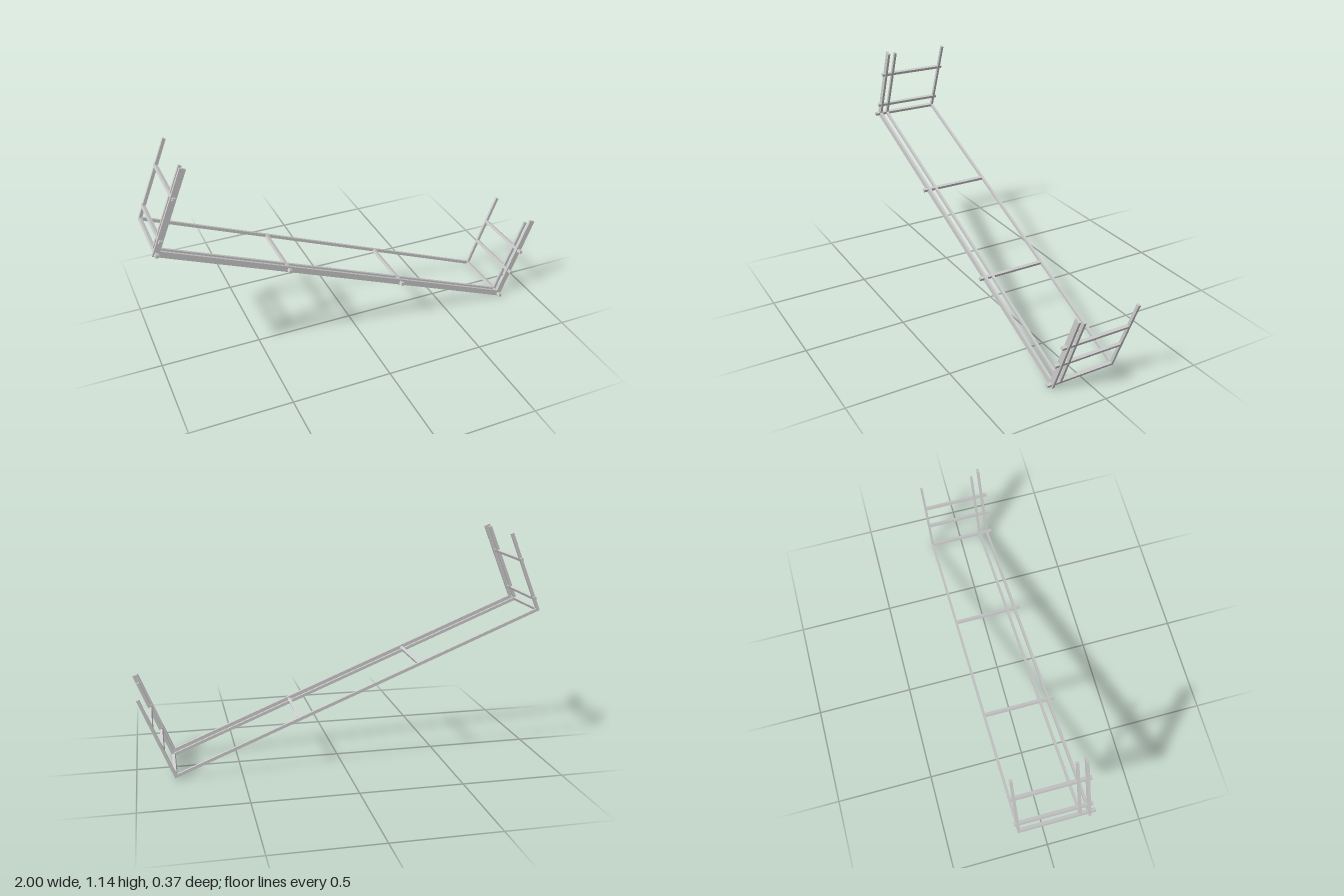
import * as THREE from 'three';

export function createModel() {
  const model = new THREE.Group();
  const material = new THREE.MeshStandardMaterial({ color: 0xcccccc, flatShading: true });

  // Corner joints of the tilted frame, the long slope and the uprights square to it
  const leftCorner = new THREE.Vector2(-0.981, 0.749);
  const rightCorner = new THREE.Vector2(0.817, 0.02);
  const slope = rightCorner.clone().sub(leftCorner).normalize();
  const up = new THREE.Vector2(-slope.y, slope.x);
  const along = (from, dir, d) => from.clone().addScaledVector(dir, d);

  // Bar between two points in the xy plane, with optional overrun at each end
  function bar(name, a, b, thick, z, depth, startOver = 0, endOver = 0) {
    const d = b.clone().sub(a).normalize();
    const p = along(a, d, -startOver), q = along(b, d, endOver);
    const mesh = new THREE.Mesh(new THREE.BoxGeometry(p.distanceTo(q), thick, depth), material);
    mesh.position.set((p.x + q.x) / 2, (p.y + q.y) / 2, z);
    mesh.rotation.z = Math.atan2(d.y, d.x);
    mesh.name = name;
    return mesh;
  }

  // Three U-shaped frames: a heavier front one and two slimmer ones behind
  const frames = [
    { name: 'frontFrame', z: 0.156, thick: 0.029, left: 0.414, right: 0.45 },
    { name: 'middleFrame', z: 0.115, thick: 0.015, left: 0.41, right: 0.419 },
    { name: 'rearFrame', z: -0.167, thick: 0.015, left: 0.41, right: 0.419 },
  ];
  for (const { name, z, thick, left, right } of frames) {
    const frame = new THREE.Group();
    frame.name = name;
    const h = thick / 2;
    frame.add(
      bar('longRail', leftCorner, rightCorner, thick, z, 0.012, h, h),
      bar('leftUpright', along(leftCorner, up, h), along(leftCorner, up, left), thick, z, 0.012),
      bar('rightUpright', along(rightCorner, up, h), along(rightCorner, up, right), thick, z, 0.012),
    );
    model.add(frame);
  }

  // Cross bars tying the frames together
  function crossBar(name, p, zFront, zBack) {
    const mesh = new THREE.Mesh(new THREE.BoxGeometry(0.015, 0.015, zFront - zBack), material);
    mesh.position.set(p.x, p.y, (zFront + zBack) / 2);
    mesh.rotation.z = Math.atan2(slope.y, slope.x);
    mesh.name = name;
    model.add(mesh);
  }
  for (const t of [0, 0.336, 0.667, 1]) {
    crossBar('railCrossBar', leftCorner.clone().lerp(rightCorner, t), 0.185, -0.172);
  }
  for (const d of [0.063, 0.272]) {
    crossBar('leftCrossBar', along(leftCorner, up, d), 0.175, -0.183);
  }
  for (const d of [0.145, 0.272]) {
    crossBar('rightCrossBar', along(rightCorner, up, d), 0.185, -0.172);
  }

  return model;
}
